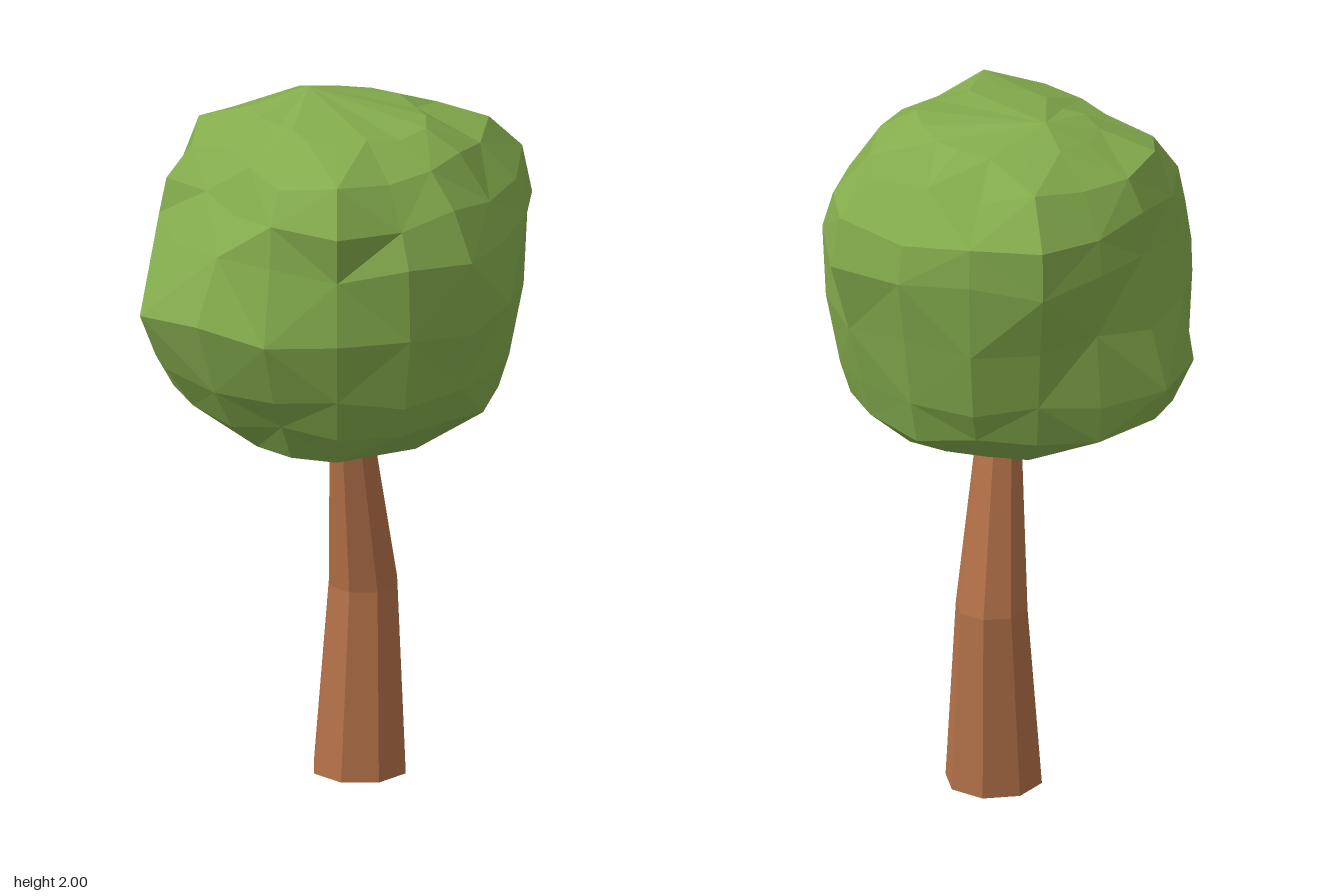
import * as THREE from 'three';

// Skin a stack of closed rings; rings run from low to high, angle from +x to +z.
function loft(rings) {
  const n = rings[0].length;
  const pos = rings.flat().flatMap((p) => p.toArray());
  const index = [];
  for (let j = 0; j < rings.length - 1; j++) {
    for (let i = 0; i < n; i++) {
      const k = (i + 1) % n;
      const a = j * n + i, b = j * n + k, c = a + n, d = b + n;
      // alternate the diagonal for an irregular, hewn look
      if ((i + j) % 2) index.push(a, c, b, b, c, d);
      else index.push(a, d, b, a, c, d);
    }
  }
  const geo = new THREE.BufferGeometry();
  geo.setAttribute('position', new THREE.Float32BufferAttribute(pos, 3));
  geo.setIndex(index);
  const flat = geo.toNonIndexed();
  flat.computeVertexNormals();
  return flat;
}

// Ring of points around (cx, cz); radii is a list, one per angle.
function ring(radii, y, cx, cz, wobble = () => 0) {
  return radii.map((r, i) => {
    const t = (i / radii.length) * Math.PI * 2;
    return new THREE.Vector3(cx + r * Math.cos(t), y + wobble(i), cz + r * Math.sin(t));
  });
}

function makeTrunk() {
  // height, radius, z of the centre: an eight-sided trunk with one bend
  const sections = [[0, 0.137, -0.125], [0.54, 0.102, -0.151], [1.1, 0.058, -0.045]];
  const rings = sections.map(([y, r, z]) => ring(Array(8).fill(r), y, 0.02, z));
  const mat = new THREE.MeshStandardMaterial({
    color: 0xb47149, flatShading: true, side: THREE.DoubleSide,
  });
  const trunk = new THREE.Mesh(loft(rings), mat);
  trunk.name = 'trunk';
  return trunk;
}

function makeCrown() {
  // radii in hundredths, every 22.5 degrees from +x through +z, -x and -z
  const levels = [
    [1.06, [30, 31, 32, 33, 33, 31, 28, 24, 22, 25, 29, 30, 30, 31, 33, 31]],
    [1.16, [44, 44, 44, 42, 40, 41, 43, 45, 46, 49, 46, 43, 43, 45, 46, 45]],
    [1.27, [48, 49, 49, 48, 46, 48, 51, 50, 52, 53, 47, 46, 47, 48, 49, 48]],
    [1.46, [52, 53, 53, 53, 53, 55, 59, 51, 49, 48, 45, 49, 50, 51, 53, 52]],
    [1.66, [50, 53, 52, 51, 49, 47, 48, 49, 47, 45, 48, 54, 52, 54, 59, 53]],
    [1.78, [46, 46, 47, 53, 48, 40, 39, 47, 46, 45, 46, 53, 51, 52, 56, 50]],
    [1.89, [37, 37, 38, 45, 42, 34, 31, 40, 41, 40, 38, 40, 39, 40, 46, 40]],
    [1.955, [27, 25, 22, 22, 21, 17, 17, 21, 25, 26, 26, 26, 26, 25, 24, 25]],
  ];
  const n = 16;
  const point = (x, y, z) => Array.from({ length: n }, () => new THREE.Vector3(x, y, z));
  const rings = levels.map(([y, radii], j) => {
    const amount = j === 0 || j === levels.length - 1 ? 0.006 : 0.015;
    return ring(radii.map((r) => r / 100), y, 0, 0,
      (i) => -amount * Math.sin(i * 2.4 + j * 1.7));
  });
  // close the underside and the top with a single point each
  rings.unshift(point(-0.02, 1.0, 0.11));
  rings.push(point(-0.12, 2.0, -0.09));
  const mat = new THREE.MeshStandardMaterial({ color: 0x84ac4d, flatShading: true });
  const crown = new THREE.Mesh(loft(rings), mat);
  crown.name = 'crown';
  return crown;
}

export function createModel() {
  const tree = new THREE.Group();
  tree.name = 'tree';
  tree.add(makeTrunk(), makeCrown());
  return tree;
}
